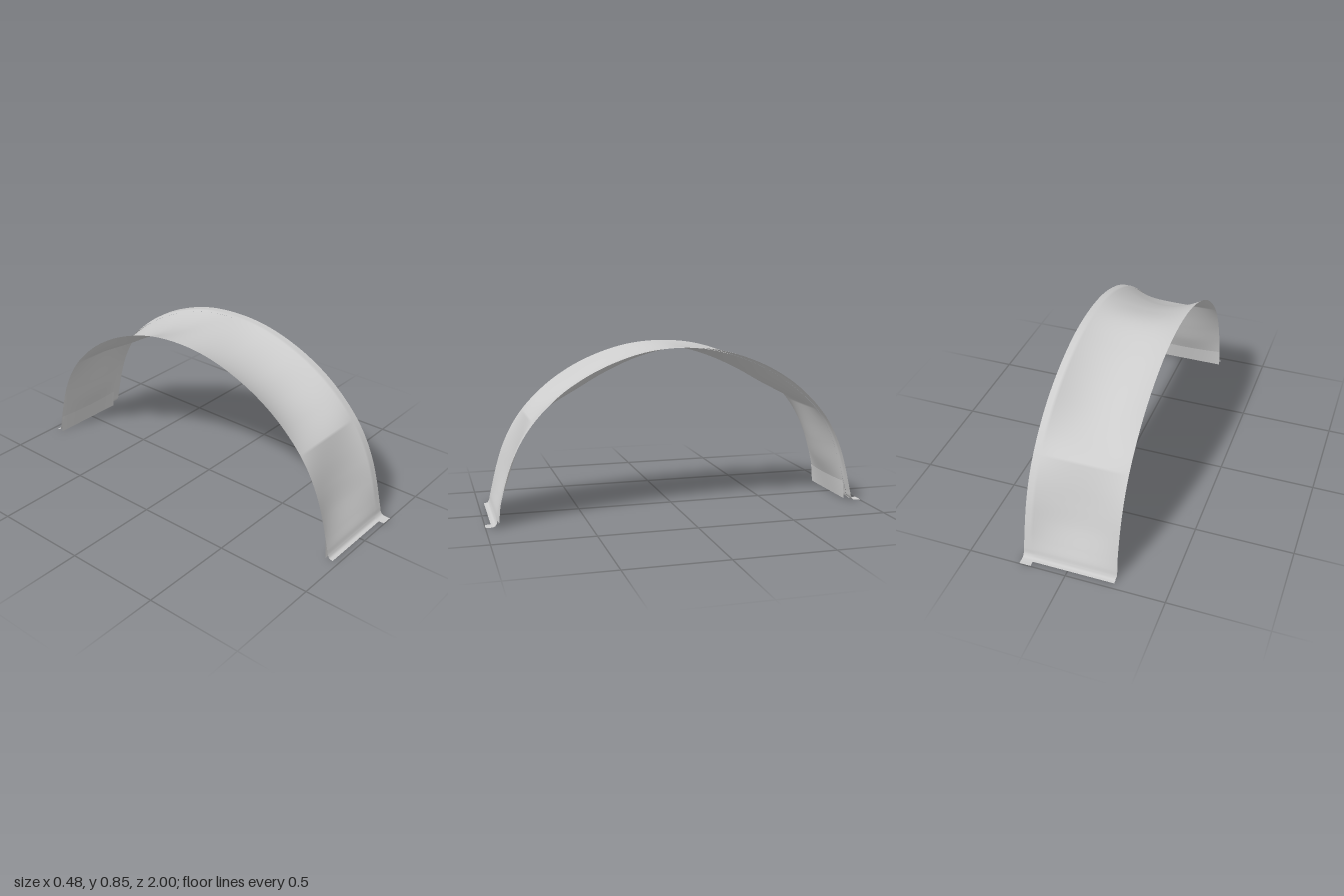
import * as THREE from 'three';
import { ParametricGeometry } from 'three/addons/geometries/ParametricGeometry.js';

const fabric = new THREE.MeshStandardMaterial({ color: 0xcccccc, side: THREE.DoubleSide });

// Half profile from the apex to the ground: z, y, sag at mid width.
// The sag changes sign at the crease, so its absolute value keeps a sharp fold there.
const HALF = [
  [0, 0.851, 0.015], [0.2, 0.832, 0.042], [0.4, 0.768, 0.064], [0.55, 0.688, 0.068],
  [0.66, 0.603, 0.045], [0.755, 0.503, 0], [0.815, 0.415, -0.024], [0.865, 0.31, -0.038],
  [0.9, 0.2, -0.035], [0.924, 0.1, -0.014], [0.936, 0.05, -0.003],
];
const LIP = [[0.943, 0.02, 0], [0.952, 0.006, 0], [0.97, 0.002, 0]];
const TAB = [[0.943, 0.02, 0], [0.955, 0.005, 0], [0.975, 0.001, 0], [1, 0.001, 0]];

// Full arch curve, mirrored front to back
function archCurve(foot) {
  const half = [...HALF, ...foot];
  const back = half.slice(1).reverse().map(([z, y, s]) => new THREE.Vector3(-z, y, s));
  const front = half.map(([z, y, s]) => new THREE.Vector3(z, y, s));
  return new THREE.CatmullRomCurve3([...back, ...front], false, 'centripetal');
}

// Cloth band between two x positions, sagging towards the inside of the arch
function band(name, foot, x0, x1, offset, across) {
  const curve = archCurve(foot);
  const geometry = new ParametricGeometry((u, v, out) => {
    const x = x0 + (x1 - x0) * v;
    const p = curve.getPoint(u);
    const t = curve.getTangent(u);
    const len = Math.hypot(t.x, t.y) || 1;
    const slack = Math.max(0, 1 - ((x + 0.02) / 0.22) ** 2);
    const push = offset - Math.abs(p.z) * slack;
    out.set(x, Math.max(0, p.y + (t.x / len) * push), p.x - (t.y / len) * push);
  }, 220, across);
  const mesh = new THREE.Mesh(geometry, fabric);
  mesh.name = name;
  return mesh;
}

// Short flap hanging straight down inside each foot
function innerFlap(side) {
  const geometry = new ParametricGeometry((u, v, out) => {
    const x = -0.238 + 0.42 * u;
    const slack = Math.max(0, 1 - ((x + 0.02) / 0.22) ** 2);
    out.set(x, 0.1 * (1 - v), side * (0.922 + 0.008 * v - 0.014 * slack * (1 - v)));
  }, 16, 6);
  const mesh = new THREE.Mesh(geometry, fabric);
  mesh.name = side > 0 ? 'frontInnerFlap' : 'backInnerFlap';
  return mesh;
}

export function createModel() {
  const group = new THREE.Group();
  group.name = 'fabricArch';
  group.add(band('mainPanel', LIP, -0.238, 0.184, 0, 24));
  // Edge strip with longer ground tabs
  group.add(band('edgeStrip', TAB, 0.18, 0.238, 0.003, 4));
  for (const side of [1, -1]) group.add(innerFlap(side));
  return group;
}
